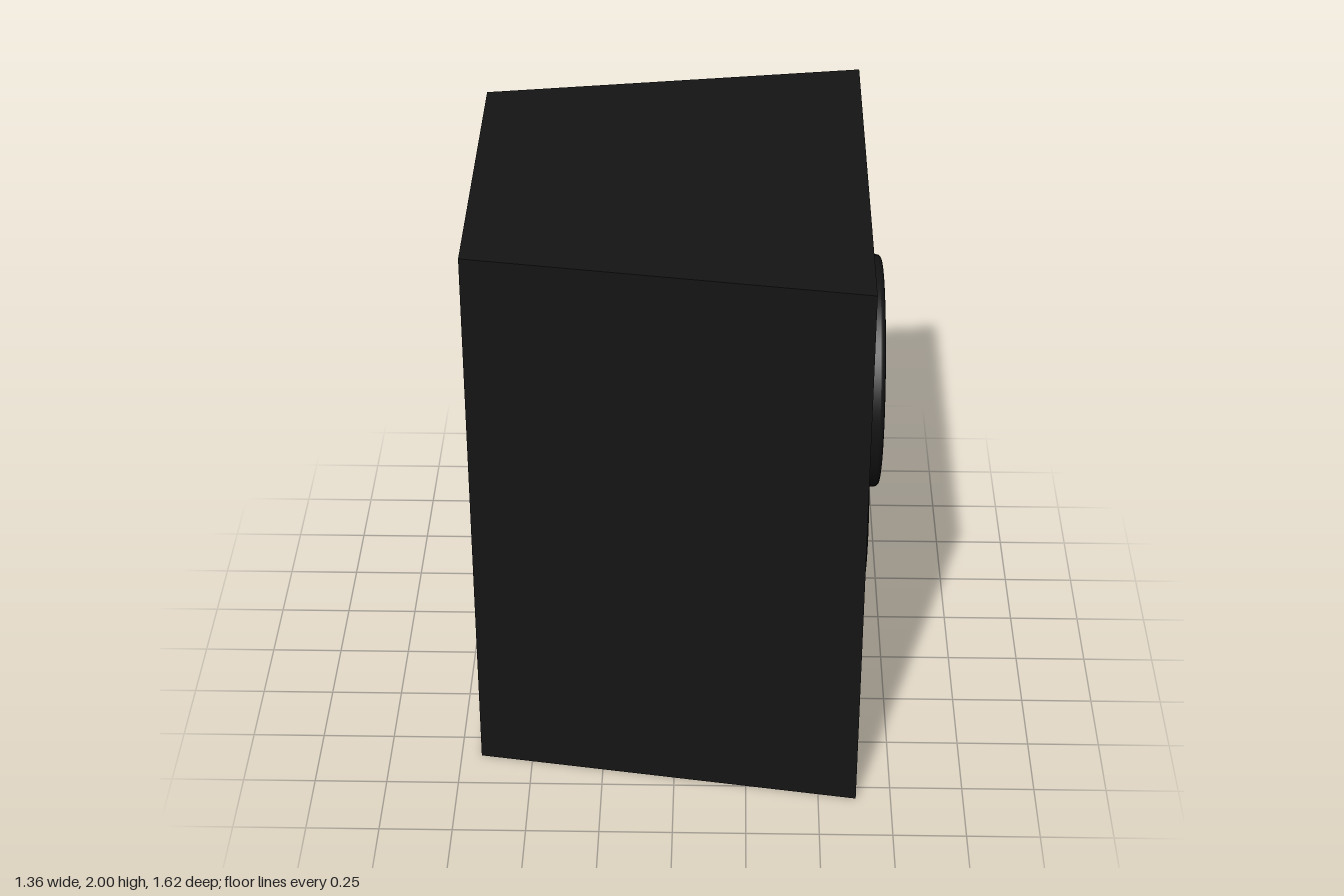
import * as THREE from 'three';

const BAFFLE_X = 0.58;
const material = (color) => new THREE.MeshStandardMaterial({ color });

function addMesh(parent, name, geometry, mat) {
  const mesh = new THREE.Mesh(geometry, mat);
  mesh.name = name;
  parent.add(mesh);
  return mesh;
}

// Joins rectangular sections [x, yBottom, yTop, halfDepth] into a flat-shaded skin
function rectangleLoft(sections) {
  const rings = sections.map(([x, y0, y1, h]) => [[x, y0, h], [x, y0, -h], [x, y1, -h], [x, y1, h]]);
  const positions = [];
  for (let s = 0; s < rings.length - 1; s++) {
    const a = rings[s], b = rings[s + 1];
    for (let i = 0; i < 4; i++) {
      const j = (i + 1) % 4;
      positions.push(...a[i], ...a[j], ...b[j], ...a[i], ...b[j], ...b[i]);
    }
  }
  const geometry = new THREE.BufferGeometry();
  geometry.setAttribute('position', new THREE.Float32BufferAttribute(positions, 3));
  geometry.computeVertexNormals();
  return geometry;
}

// Revolves a [radius, height] profile around an axis pointing to +x
function latheX(profile) {
  const points = profile.map(([r, h]) => new THREE.Vector2(r, h));
  return new THREE.LatheGeometry(points, 64).rotateZ(-Math.PI / 2);
}

export function createModel() {
  const model = new THREE.Group();
  model.name = 'loudspeaker';
  const cabinetMat = material(0x141414);
  const driverMat = material(0x131313);
  const portMat = material(0x0a0a0a);
  portMat.side = THREE.DoubleSide;

  const drivers = [{ y: 1.41, z: 0.28 }, { y: 0.59, z: -0.295 }];
  const ports = [{ y: 1.43, z: -0.43 }, { y: 0.55, z: 0.425 }];
  const portRadius = 0.177;

  // Tapered cabinet with a raised rim around the baffle
  addMesh(model, 'cabinet', rectangleLoft([
    [-0.68, 1, 1, 0],
    [-0.68, 0, 2, 0.6],
    [0.63, 0, 2, 0.81],
    [0.63, 0.08, 1.92, 0.75],
    [BAFFLE_X, 0.08, 1.92, 0.75],
  ]), cabinetMat);

  // Recessed baffle, pierced by the ports
  const panel = new THREE.Shape([[-0.75, 0.08], [0.75, 0.08], [0.75, 1.92], [-0.75, 1.92]]
    .map(([x, y]) => new THREE.Vector2(x, y)));
  for (const { y, z } of ports) {
    panel.holes.push(new THREE.Path().absarc(-z, y, portRadius, 0, Math.PI * 2, true));
  }
  const baffle = addMesh(model, 'baffle', new THREE.ShapeGeometry(panel, 32).rotateY(Math.PI / 2), cabinetMat);
  baffle.position.x = BAFFLE_X;

  // Shallow dark port wells
  const portGeometry = latheX([[portRadius, 0], [portRadius, -0.03], [portRadius, -0.03], [0, -0.03]]);
  for (const { y, z } of ports) {
    addMesh(model, 'port', portGeometry, portMat).position.set(BAFFLE_X, y, z);
  }

  // Drivers: frame with rounded lip, sunken cone and domed dust cap
  const lip = [[0.388, 0], [0.388, 0.085]];
  for (let i = 0; i <= 8; i++) {
    const t = (i / 8) * Math.PI;
    lip.push([0.368 + 0.02 * Math.cos(t), 0.085 + 0.015 * Math.sin(t)]);
  }
  const frameGeometry = latheX([...lip, [0.33, 0.07], [0.24, 0.04], [0.13, 0.01], [0, 0.01]]);
  const dome = [];
  for (let i = 0; i <= 10; i++) {
    const t = (i / 10) * Math.PI / 2;
    dome.push([0.132 * Math.cos(t), 0.01 + 0.06 * Math.sin(t)]);
  }
  const capGeometry = latheX(dome);
  for (const { y, z } of drivers) {
    const driver = new THREE.Group();
    driver.name = 'driver';
    driver.position.set(BAFFLE_X, y, z);
    addMesh(driver, 'cone', frameGeometry, driverMat);
    addMesh(driver, 'dustCap', capGeometry, driverMat);
    model.add(driver);
  }
  return model;
}
